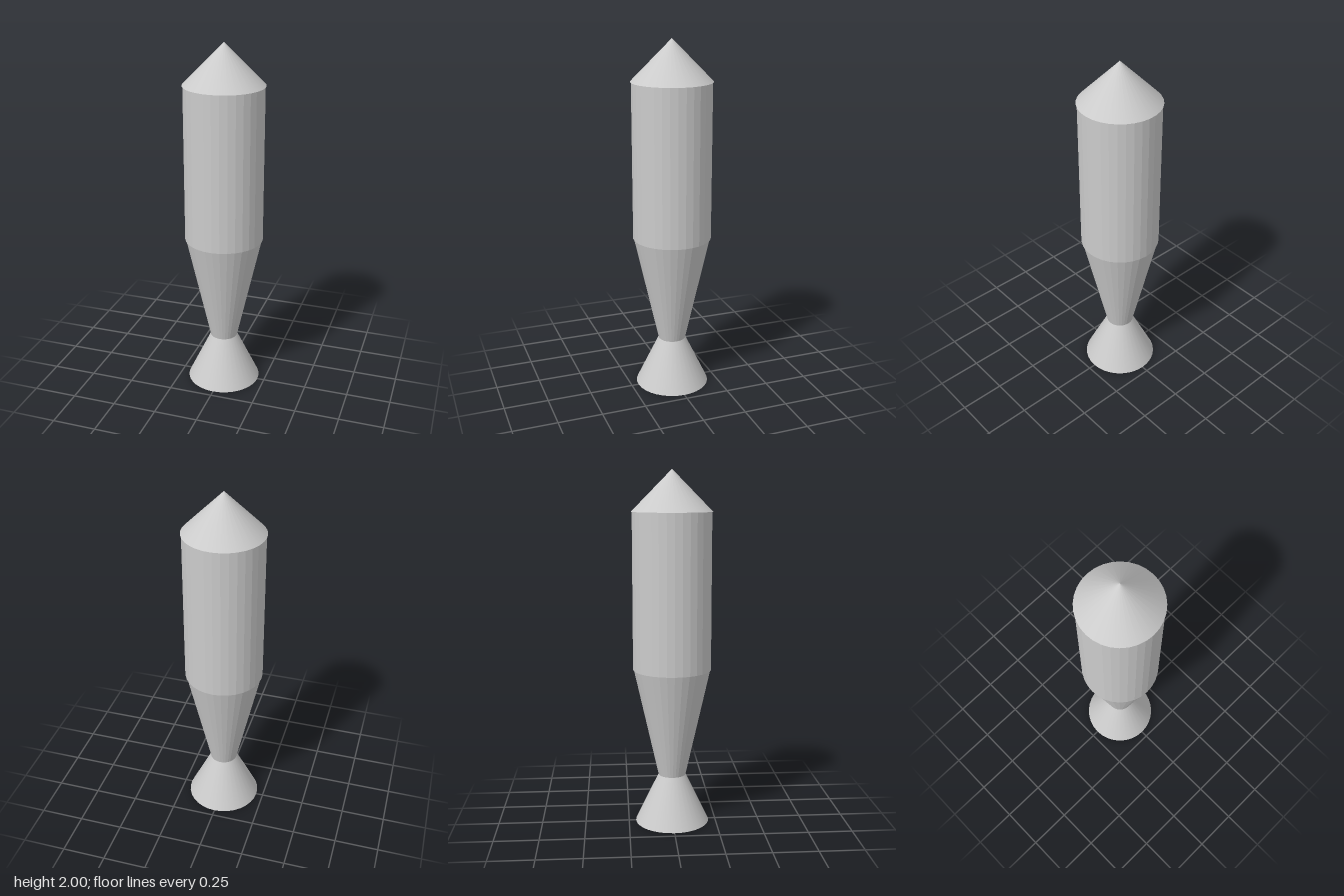
import * as THREE from 'three';

const SIDES = 32;

export function createModel() {
  const group = new THREE.Group();
  const smooth = new THREE.MeshStandardMaterial({ color: 0xcccccc });
  const faceted = new THREE.MeshStandardMaterial({ color: 0xcccccc, flatShading: true });

  // A closed round section between two heights
  function section(name, bottomY, bottomRadius, topY, topRadius, material) {
    const geometry = topRadius === 0
      ? new THREE.ConeGeometry(bottomRadius, topY - bottomY, SIDES)
      : new THREE.CylinderGeometry(topRadius, bottomRadius, topY - bottomY, SIDES);
    const mesh = new THREE.Mesh(geometry, material);
    mesh.name = name;
    mesh.position.y = (bottomY + topY) / 2;
    group.add(mesh);
  }

  section('flaredBase', 0, 0.21, 0.28, 0.077, smooth);
  // The taper's top sits slightly inside the body
  section('taperedLowerBody', 0.275, 0.077, 0.91, 0.219, faceted);
  section('mainBody', 0.895, 0.22, 1.775, 0.22, faceted);
  section('noseCone', 1.772, 0.225, 2, 0, smooth);

  return group;
}
